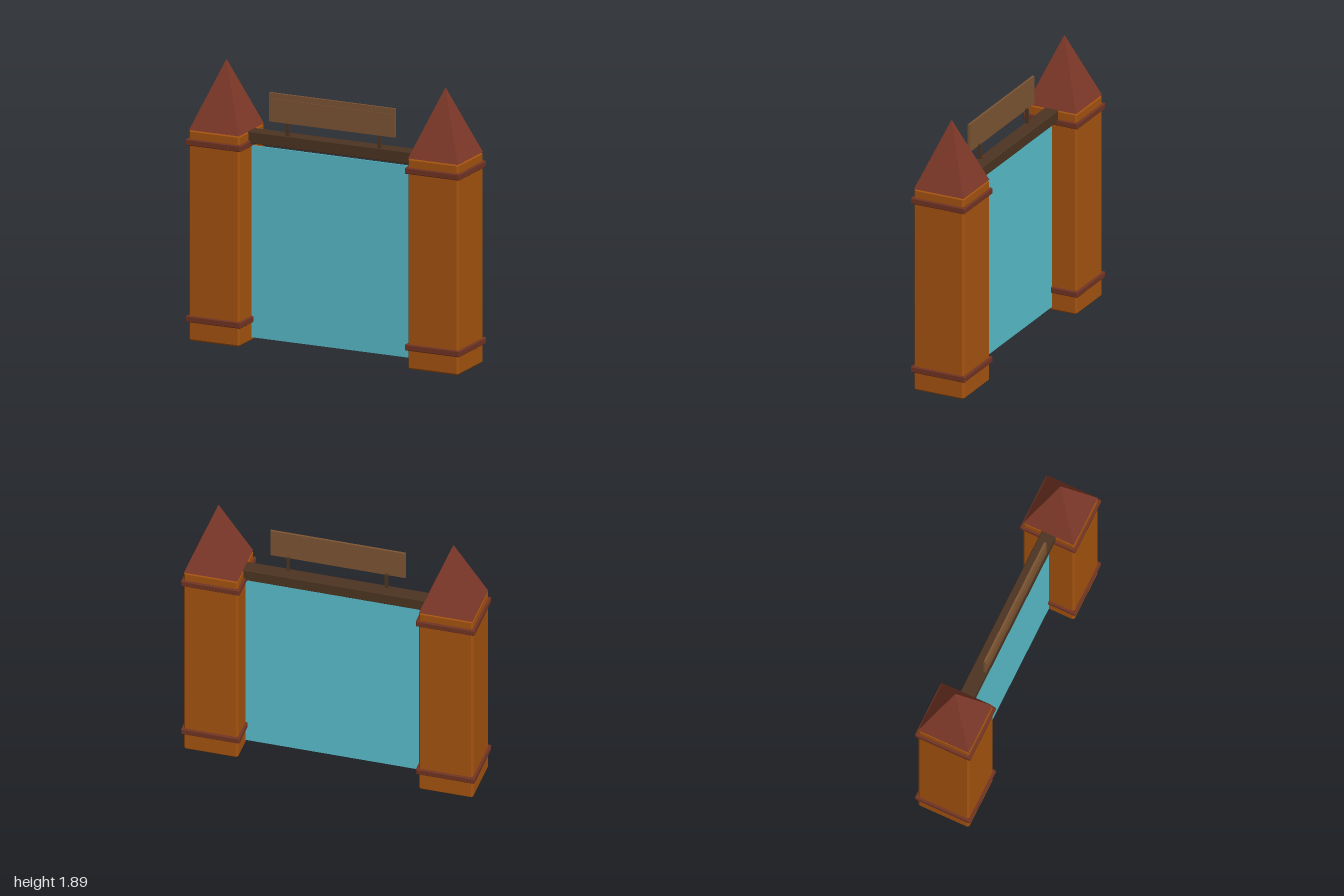
import * as THREE from 'three';
import { ConvexGeometry } from 'three/addons/geometries/ConvexGeometry.js';

const paint = (name, color) => {
  const m = new THREE.MeshStandardMaterial({ color });
  m.name = name;
  return m;
};

// Box with flat chamfers on every edge
function chamferBox(w, h, d, b) {
  const points = [];
  for (const x of [-1, 1]) for (const y of [-1, 1]) for (const z of [-1, 1]) {
    for (let axis = 0; axis < 3; axis++) {
      points.push(new THREE.Vector3(
        x * (w / 2 - (axis === 0 ? 0 : b)),
        y * (h / 2 - (axis === 1 ? 0 : b)),
        z * (d / 2 - (axis === 2 ? 0 : b))));
    }
  }
  return new ConvexGeometry(points);
}

export function createModel() {
  const clay = paint('orange clay', 0xa5530f);
  const band = paint('dark red band', 0x713423);
  const tile = paint('red roof', 0x7e3929);
  const beamWood = paint('dark wood', 0x4c3421);
  const signWood = paint('light wood', 0x7c5533);
  const blue = paint('turquoise', 0x58bdcb);

  const model = new THREE.Group();
  model.name = 'gateway';
  const add = (parent, name, geometry, material, x, y, z = 0) => {
    const mesh = new THREE.Mesh(geometry, material);
    mesh.name = name;
    mesh.position.set(x, y, z);
    parent.add(mesh);
  };

  // Two towers with bands and pyramid roofs
  const shaft = chamferBox(0.37, 1.43, 0.37, 0.012);
  const ring = chamferBox(0.4, 0.042, 0.4, 0.005);
  const roof = new THREE.ConeGeometry(0.183 * Math.SQRT2, 0.46, 4, 1).toNonIndexed();
  roof.rotateY(Math.PI / 4);
  roof.computeVertexNormals();
  for (const side of [-1, 1]) {
    const tower = new THREE.Group();
    tower.name = side > 0 ? 'leftTower' : 'rightTower';
    tower.position.x = side * 0.8;
    add(tower, 'shaft', shaft, clay, 0, 0.715);
    add(tower, 'lowerBand', ring, band, 0, 0.15);
    add(tower, 'upperBand', ring, band, 0, 1.347);
    add(tower, 'roof', roof, tile, 0, 1.658);
    model.add(tower);
  }

  // Panel filling the opening, and the beam above it
  add(model, 'panel', new THREE.BoxGeometry(1.25, 1.3, 0.01), blue, 0, 0.675);
  add(model, 'beam', chamferBox(1.25, 0.08, 0.1, 0.004), beamWood, 0, 1.39);

  // Blank sign board with a slightly raised middle, on two posts
  add(model, 'signBoard', new THREE.BoxGeometry(0.92, 0.196, 0.015), signWood, 0, 1.617, 0.0505);
  add(model, 'signFace', new THREE.BoxGeometry(0.91, 0.118, 0.004), signWood, 0, 1.617, 0.06);
  for (const side of [-1, 1]) {
    add(model, 'signPost', new THREE.BoxGeometry(0.02, 0.11, 0.022), beamWood, side * 0.335, 1.475, 0.034);
  }
  return model;
}
